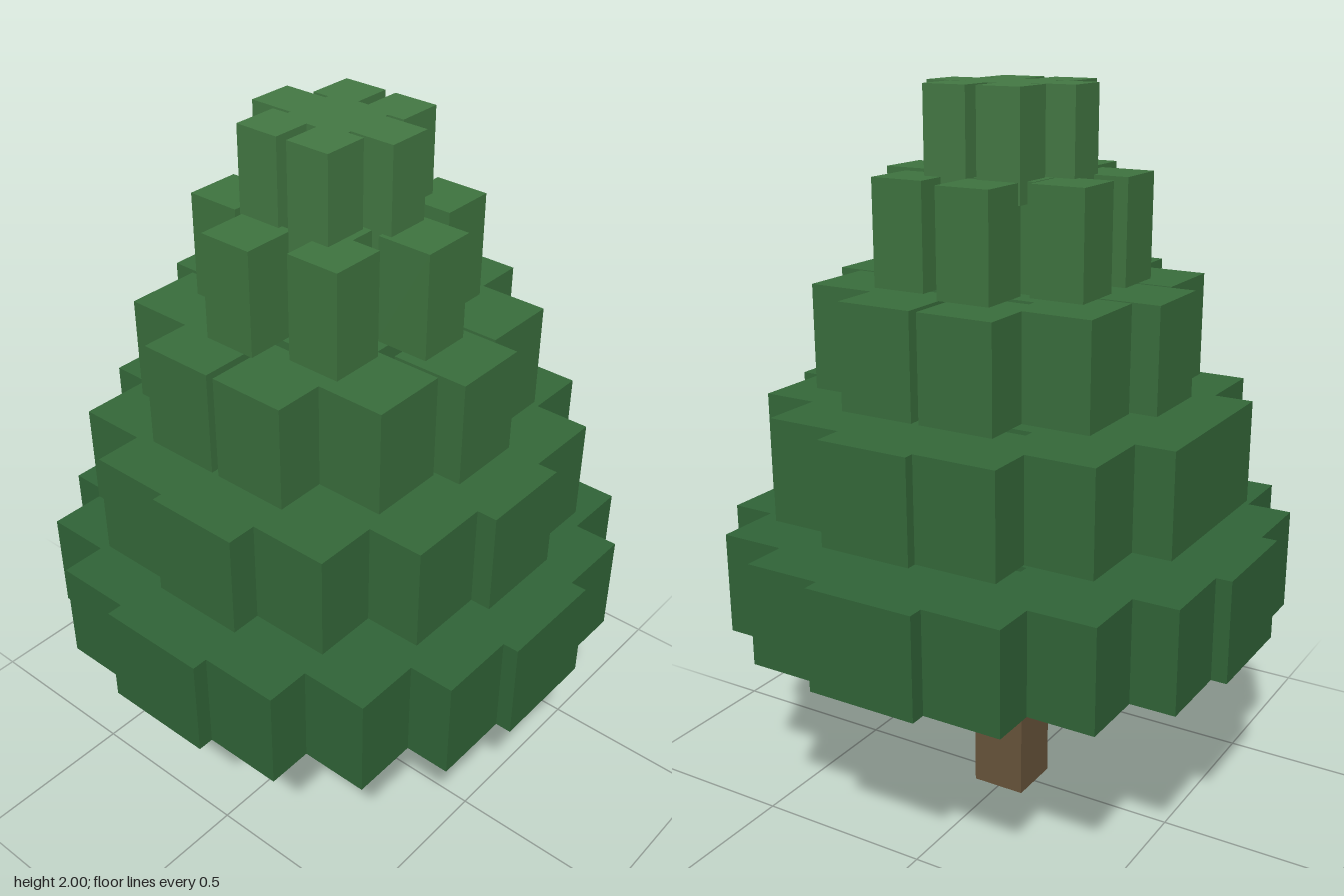
import * as THREE from 'three';

// Each tier: block count, ring radius, block width, bottom height, colour
const TIERS = [
  { count: 16, radius: 0.565, width: 0.31, bottom: 0.565, color: 0x306337 },
  { count: 13, radius: 0.48, width: 0.26, bottom: 0.905, color: 0x346839 },
  { count: 10, radius: 0.375, width: 0.21, bottom: 1.215, color: 0x396d3c },
  { count: 7, radius: 0.265, width: 0.15, bottom: 1.495, color: 0x3e733f },
  { count: 6, radius: 0.155, width: 0.124, bottom: 1.72, color: 0x437843 },
];
const TIER_HEIGHT = 0.28;

function block(name, width, height, bottom, material, x = 0, z = 0) {
  const mesh = new THREE.Mesh(new THREE.BoxGeometry(width, height, width), material);
  mesh.name = name;
  mesh.position.set(x, bottom + height / 2, z);
  return mesh;
}

// A square core surrounded by a ring of axis-aligned leaf blocks
function foliageTier({ count, radius, width, bottom, color }) {
  const tier = new THREE.Group();
  const material = new THREE.MeshStandardMaterial({ color, flatShading: true });
  tier.add(block('tierCore', radius * 1.2, TIER_HEIGHT, bottom, material));
  for (let i = 0; i < count; i++) {
    const a = (i / count) * Math.PI * 2;
    tier.add(block('leafBlock', width, TIER_HEIGHT, bottom, material,
      Math.cos(a) * radius, Math.sin(a) * radius));
  }
  return tier;
}

export function createModel() {
  const tree = new THREE.Group();
  tree.name = 'blockTree';

  // Trunk, running up into the third tier
  const bark = new THREE.MeshStandardMaterial({ color: 0x67533a, flatShading: true });
  tree.add(block('trunk', 0.156, 1.3, 0, bark));

  // Foliage
  TIERS.forEach((spec, i) => {
    const tier = foliageTier(spec);
    tier.name = `foliageTier${i + 1}`;
    tree.add(tier);
  });
  return tree;
}
